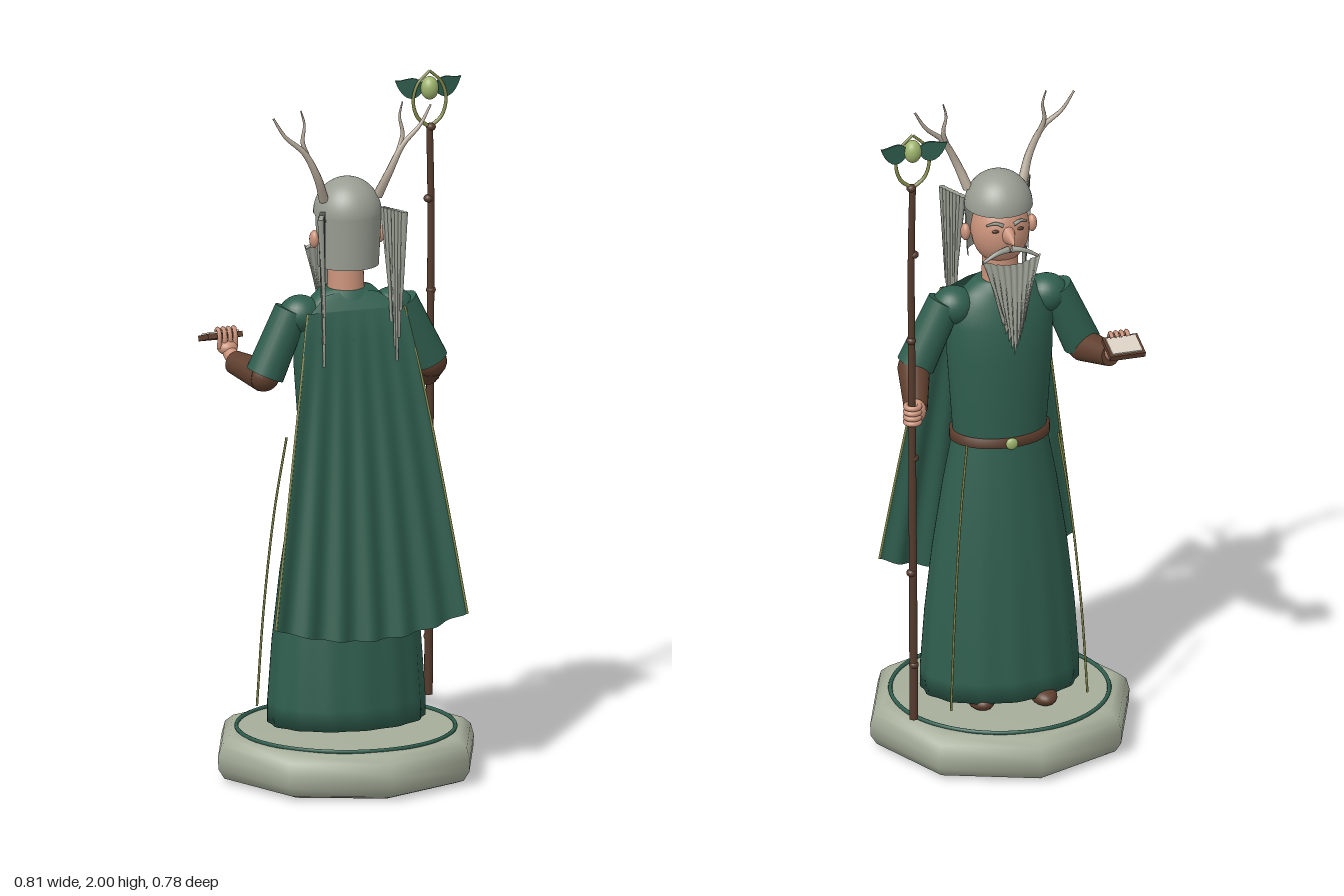
import * as THREE from 'three';
import { mergeVertices } from 'three/addons/utils/BufferGeometryUtils.js';

const mat = (name, color, side = THREE.FrontSide) => {
  const m = new THREE.MeshStandardMaterial({ color, side });
  m.name = name;
  return m;
};
const V = (x, y, z) => new THREE.Vector3(x, y, z);

export function createModel() {
  const model = new THREE.Group();
  const root = new THREE.Group();
  root.name = 'figurine';
  root.position.x = -0.01;
  model.add(root);

  const M = {
    robe: mat('robe green', 0x2f5e4e, THREE.DoubleSide),
    stone: mat('pale stone', 0xa6ae9a),
    hair: mat('grey hair', 0x999d92, THREE.DoubleSide),
    antler: mat('antler', 0xb5a999),
    skin: mat('skin', 0xc9927a),
    leather: mat('leather', 0x5f3f2e),
    wood: mat('staff wood', 0x553b2d),
    page: mat('page', 0xd9d0c2),
    gem: mat('gem green', 0x9db36c),
    trim: mat('olive trim', 0x858a4c),
  };

  const add = (name, geo, material, p = [0, 0, 0], s = [1, 1, 1], r = [0, 0, 0]) => {
    const m = new THREE.Mesh(geo, material);
    m.name = name;
    m.position.set(...p);
    m.scale.set(...s);
    m.rotation.set(...r);
    root.add(m);
    return m;
  };
  const ball = (name, material, p, s) => add(name, new THREE.SphereGeometry(1, 24, 16), material, p, s);

  // straight tapered limb from a to b
  const limb = (name, material, a, b, ra, rb, seg = 16) => {
    const d = b.clone().sub(a);
    const m = add(name, new THREE.CylinderGeometry(rb, ra, d.length(), seg), material);
    m.position.copy(a).addScaledVector(d, 0.5);
    m.quaternion.setFromUnitVectors(V(0, 1, 0), d.normalize());
    return m;
  };

  // curved tube whose radius shrinks from r0 to r1
  const taper = (name, material, pts, r0, r1, seg = 20, radial = 8) => {
    const curve = new THREE.CatmullRomCurve3(pts);
    const geo = new THREE.TubeGeometry(curve, seg, r0, radial);
    const pos = geo.attributes.position, v = new THREE.Vector3();
    for (let i = 0; i < pos.count; i++) {
      const t = Math.floor(i / (radial + 1)) / seg;
      const c = curve.getPointAt(t);
      v.fromBufferAttribute(pos, i).sub(c).multiplyScalar(1 + (r1 / r0 - 1) * t).add(c);
      pos.setXYZ(i, v.x, v.y, v.z);
    }
    return add(name, geo, material);
  };

  // elliptical sections [y, rx, rz, z centre], bottom to top
  const loft = (name, material, sections, ripple = () => 0) => {
    const geo = new THREE.LatheGeometry(sections.map((s) => new THREE.Vector2(1, s[0])), 72);
    const pos = geo.attributes.position;
    for (let i = 0; i < pos.count; i++) {
      const [y, rx, rz, cz] = sections[i % sections.length];
      const k = 1 + ripple(Math.atan2(pos.getX(i), pos.getZ(i)), y);
      pos.setXYZ(i, pos.getX(i) * rx * k, y, pos.getZ(i) * rz * k + cz);
    }
    geo.deleteAttribute('uv');
    geo.deleteAttribute('normal');
    const merged = mergeVertices(geo, 1e-5);
    merged.computeVertexNormals();
    return add(name, merged, material);
  };

  // cloth sheet: f(u in -1..1, v in 0..1) gives a point
  const sheet = (name, material, nu, nv, f) => {
    const geo = new THREE.PlaneGeometry(2, 1, nu, nv);
    const pos = geo.attributes.position;
    for (let i = 0; i < pos.count; i++) pos.setXYZ(i, ...f(pos.getX(i), 0.5 - pos.getY(i)));
    geo.computeVertexNormals();
    return add(name, geo, material);
  };

  // octagonal plinth with rounded rim, and inlaid ring
  const rim = [[0, 0], [0.335, 0], [0.37, 0.012], [0.388, 0.04], [0.39, 0.075], [0.38, 0.11], [0.355, 0.13], [0.33, 0.134], [0, 0.134]];
  add('plinth', new THREE.LatheGeometry(rim.map((p) => new THREE.Vector2(...p)), 8), M.stone);
  add('plinthRing', new THREE.TorusGeometry(0.313, 0.006, 8, 72), M.robe, [0, 0.137, 0], [1, 1, 1], [Math.PI / 2, 0, 0]);

  // robe: pleated skirt and torso, belt
  loft('skirt', M.robe, [
    [0.16, 0.01, 0.01, 0.003], [0.16, 0.23, 0.163, 0.003], [0.22, 0.23, 0.163, 0.003], [0.4, 0.218, 0.153, 0.003],
    [0.6, 0.196, 0.14, 0.003], [0.8, 0.166, 0.12, 0.003], [0.95, 0.138, 0.102, 0.003],
  ], (a, y) => 0.018 * Math.cos(a * 14) * Math.max(0, (0.95 - y) / 0.8));
  loft('torso', M.robe, [
    [0.94, 0.136, 0.102, 0.003], [1.05, 0.144, 0.106, 0.003], [1.2, 0.155, 0.11, 0.003], [1.3, 0.158, 0.102, 0.004],
    [1.36, 0.145, 0.085, 0.004], [1.4, 0.11, 0.068, 0.002], [1.43, 0.078, 0.056, 0], [1.432, 0.04, 0.035, 0],
  ]);
  loft('belt', M.leather, [[0.937, 0.136, 0.1, 0.003], [0.937, 0.147, 0.111, 0.003], [0.965, 0.147, 0.111, 0.003], [0.965, 0.136, 0.1, 0.003]]);
  ball('buckle', M.gem, [0, 0.951, -0.112], [0.018, 0.018, 0.01]);

  // cape with pleats that grow toward the hem, edged in trim
  const cape = (u, v) => [
    u * (0.148 + 0.144 * Math.pow(v, 0.92)),
    1.38 - v * (0.89 + 0.055 * (1 - u * u)),
    0.085 + 0.128 * Math.pow(v, 0.75) + v * 0.011 * Math.cos(u * 19) - 0.012 * u * u * v,
  ];
  sheet('cape', M.robe, 72, 24, cape);
  sheet('capeYoke', M.robe, 24, 6, (u, v) => [u * (0.08 + 0.068 * v), 1.43 - 0.05 * v - 0.01 * u * u, 0.05 + 0.035 * v]);
  for (const s of [-1, 1]) {
    const edge = [0, 0.25, 0.5, 0.75, 1].map((v) => V(...cape(s, v)));
    taper('capeTrim', M.trim, edge, 0.0035, 0.0035, 30, 6);
    taper('robeTrim', M.trim, [V(s * 0.137, 0.97, -0.117), V(s * 0.165, 0.75, -0.142), V(s * 0.19, 0.45, -0.165), V(s * 0.205, 0.17, -0.178)], 0.0035, 0.0035, 20, 6);
    ball('boot', M.leather, [s * 0.09, 0.155, s < 0 ? -0.125 : -0.1], [0.038, 0.026, 0.055]);
  }

  // neck, head and face
  limb('neck', M.skin, V(0, 1.41, 0), V(0, 1.54, -0.005), 0.054, 0.05, 24);
  ball('head', M.skin, [0, 1.585, -0.002], [0.085, 0.105, 0.083]);
  add('nose', new THREE.ConeGeometry(0.026, 0.07, 12), M.skin, [0, 1.588, -0.105], [0.9, 1, 1.2], [-Math.PI / 2 - 0.12, 0, 0]);
  for (const s of [-1, 1]) {
    ball('ear', M.skin, [s * 0.1, 1.58, 0.01], [0.014, 0.026, 0.018]);
    ball('eye', M.wood, [s * 0.036, 1.607, -0.074], [0.012, 0.005, 0.005]);
    taper('brow', M.hair, [V(s * 0.016, 1.625, -0.08), V(s * 0.038, 1.633, -0.075), V(s * 0.06, 1.622, -0.06)], 0.006, 0.003, 8, 6);
    taper('moustache', M.hair, [V(s * 0.004, 1.555, -0.093), V(s * 0.04, 1.55, -0.1), V(s * 0.085, 1.525, -0.1)], 0.01, 0.004, 12, 8);
  }
  add('mouth', new THREE.BoxGeometry(0.035, 0.005, 0.006), M.leather, [0, 1.54, -0.077]);

  // hair cap over the crown, lower shell at the back
  add('hairCap', new THREE.SphereGeometry(0.1, 36, 16, 0, Math.PI * 2, 0, Math.PI / 2), M.hair, [0, 1.652, 0.012], [0.98, 1.04, 1]);
  add('hairBack', new THREE.CylinderGeometry(0.098, 0.09, 0.152, 32, 1, true, -Math.PI / 2, Math.PI), M.hair, [0, 1.576, 0.012]);

  // beard sheet with ragged tips
  sheet('beard', M.hair, 36, 12, (u, v) => [
    u * (0.088 - 0.05 * v),
    1.535 - 0.02 * (1 - u * u) - v * (0.26 - 0.09 * Math.abs(u) + 0.018 * Math.cos(u * 28)),
    -0.103 - 0.028 * v - 0.01 * (1 - u * u) + 0.004 * Math.cos(u * 28),
  ]);

  // long side locks and antlers
  const lockEnd = [1.44, 1.34, 1.4, 1.27, 1.23, 1.3, 1.38];
  for (const s of [-1, 1]) {
    lockEnd.forEach((y, i) => {
      const t = i / 6;
      limb('sideLock', M.hair, V(s * (0.092 + 0.036 * t), 1.67, 0.058 + 0.08 * t),
        V(s * (0.1 + 0.016 * t), y, 0.088 + 0.05 * t), 0.0095, 0.004, 6);
    });
    taper('antler', M.antler, [V(s * 0.082, 1.7, 0.04), V(s * 0.108, 1.77, 0.062), V(s * 0.15, 1.85, 0.064),
      V(s * 0.205, 1.9, 0.055), V(s * 0.24, 1.957, 0.05)], 0.015, 0.003);
    taper('antlerTine', M.antler, [V(s * 0.135, 1.825, 0.064), V(s * 0.152, 1.88, 0.055), V(s * 0.145, 1.93, 0.05), V(s * 0.155, 1.972, 0.047)], 0.009, 0.002, 14);
  }

  // arms: shoulder, sleeve, bracer
  const arms = [
    { s: -1, elbow: V(-0.245, 1.19, -0.005), from: V(-0.245, 1.185, -0.015), wrist: V(-0.29, 1.2, -0.135) },
    { s: 1, elbow: V(0.255, 1.19, -0.005), from: V(0.262, 1.185, -0.01), wrist: V(0.297, 1.115, -0.135) },
  ];
  for (const { s, elbow, from, wrist } of arms) {
    ball('shoulder', M.robe, [s * 0.14, 1.36, 0], [0.062, 0.056, 0.058]);
    limb('sleeve', M.robe, V(s * 0.165, 1.375, 0), elbow, 0.05, 0.056, 24);
    limb('bracer', M.leather, from, wrist, 0.047, 0.034, 24);
    ball('elbow', M.leather, from.toArray(), [0.046, 0.046, 0.046]);
  }

  // hand gripping the staff
  const sx = 0.32, sz = -0.175;
  ball('staffPalm', M.skin, [sx - 0.018, 1.12, sz + 0.015], [0.027, 0.034, 0.03]);
  for (let i = 0; i < 4; i++)
    add('staffFinger', new THREE.TorusGeometry(0.02, 0.008, 8, 20), M.skin, [sx, 1.095 + i * 0.016, sz], [1, 1, 1], [Math.PI / 2, 0, 0]);

  // open hand holding the book
  limb('bookWrist', M.skin, V(-0.288, 1.2, -0.12), V(-0.295, 1.225, -0.165), 0.024, 0.02);
  ball('bookPalm', M.skin, [-0.296, 1.235, -0.175], [0.03, 0.022, 0.028]);
  for (let i = 0; i < 4; i++) {
    const x = -0.322 + i * 0.016;
    taper('bookFinger', M.skin, [V(x, 1.235, -0.17), V(x, 1.27, -0.168), V(x, 1.29, -0.18), V(x, 1.28, -0.198)], 0.008, 0.006, 10);
  }
  const bookTilt = [-0.3, 0, 0];
  add('bookCover', new THREE.BoxGeometry(0.105, 0.016, 0.085), M.leather, [-0.301, 1.258, -0.218], [1, 1, 1], bookTilt);
  add('bookPage', new THREE.BoxGeometry(0.09, 0.006, 0.07), M.page, [-0.301, 1.267, -0.221], [1, 1, 1], bookTilt);

  // staff with knots
  taper('staff', M.wood, [V(sx - 0.004, 0.16, sz), V(sx - 0.003, 0.5, sz + 0.003), V(sx + 0.001, 0.9, sz - 0.002),
    V(sx + 0.002, 1.3, sz + 0.002), V(sx + 0.004, 1.6, sz), V(sx, 1.83, sz)], 0.013, 0.01, 40, 10);
  [0.33, 0.62, 0.98, 1.35, 1.62, 1.83].forEach((y, i) =>
    ball('staffKnot', M.wood, [sx + (i % 2 ? 0.004 : -0.004), y, sz], [0.014, 0.012, 0.014]));

  // staff head: pointed loop, gem, two leaves
  const leaf = new THREE.Shape();
  leaf.moveTo(0, 0);
  leaf.bezierCurveTo(0.02, -0.05, 0.065, -0.05, 0.088, 0.02);
  leaf.bezierCurveTo(0.06, 0.012, 0.03, 0.045, 0, 0);
  for (const s of [-1, 1]) {
    taper('headLoop', M.trim, [V(sx, 1.83, sz), V(sx + s * 0.036, 1.86, sz), V(sx + s * 0.05, 1.91, sz),
      V(sx + s * 0.036, 1.96, sz), V(sx, 1.996, sz)], 0.006, 0.004, 24);
    add('leaf', new THREE.ExtrudeGeometry(leaf, { depth: 0.006, bevelEnabled: false, curveSegments: 10 }), M.robe,
      [sx + s * 0.012, 1.95, sz - 0.003], [1, 1, 1], [0, s > 0 ? 0.15 : Math.PI - 0.15, 0]);
  }
  ball('gem', M.gem, [sx, 1.945, sz], [0.026, 0.034, 0.026]);

  return model;
}
